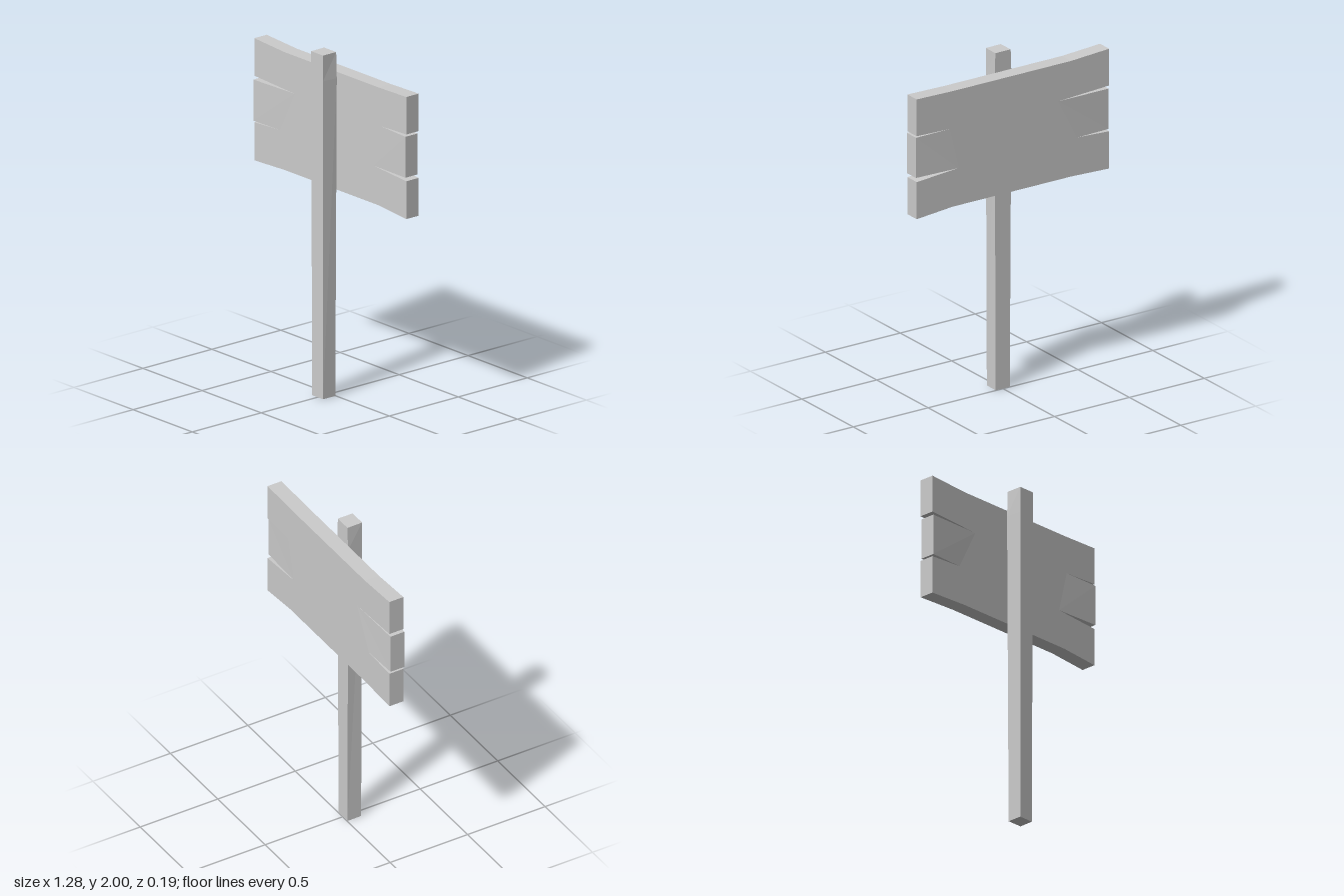
import * as THREE from 'three';

const material = () => new THREE.MeshStandardMaterial({ color: 0xcccccc, flatShading: true });

// Square post, slightly wider toward the top and along its back face
function createPost() {
  const geo = new THREE.BoxGeometry(1, 2, 1, 1, 2, 1);
  const rings = [
    { y: 0, front: 0.046, back: 0.047, zFront: 0.091, zBack: 0.003 },
    { y: 1.85, front: 0.05, back: 0.056, zFront: 0.095, zBack: 0 },
    { y: 2, front: 0.05, back: 0.051, zFront: 0.095, zBack: 0 },
  ];
  const p = geo.attributes.position;
  for (let i = 0; i < p.count; i++) {
    const r = rings[Math.round(p.getY(i)) + 1];
    const isFront = p.getZ(i) > 0;
    p.setXYZ(i, Math.sign(p.getX(i)) * (isFront ? r.front : r.back), r.y, isFront ? r.zFront : r.zBack);
  }
  geo.computeVertexNormals();
  const mesh = new THREE.Mesh(geo, material());
  mesh.name = 'post';
  return mesh;
}

// Sign board with flared ends and two splits cut into each end
function createBoard() {
  const outline = [
    [-0.645, 1.19], [-0.39, 1.2], [0.4, 1.2], [0.64, 1.18],
    [0.64, 1.4], [0.36, 1.42], [0.64, 1.422], [0.64, 1.66], [0.42, 1.665], [0.64, 1.672],
    [0.64, 1.89], [0.4, 1.885], [-0.39, 1.885], [-0.645, 1.9],
    [-0.645, 1.682], [-0.305, 1.665], [-0.645, 1.661], [-0.645, 1.422], [-0.43, 1.422], [-0.645, 1.411],
  ];
  const shape = new THREE.Shape(outline.map(([x, y]) => new THREE.Vector2(x, y)));
  const geo = new THREE.ExtrudeGeometry(shape, { depth: 0.09, bevelEnabled: false });
  geo.translate(0, 0, -0.093);

  // Bend the middle tongue a little forward at each end
  const p = geo.attributes.position;
  for (let i = 0; i < p.count; i++) {
    const y = p.getY(i);
    if (Math.abs(p.getX(i)) > 0.6 && y > 1.415 && y < 1.665) p.setZ(i, p.getZ(i) + 0.007);
  }
  geo.computeVertexNormals();
  const mesh = new THREE.Mesh(geo, material());
  mesh.name = 'signBoard';
  return mesh;
}

export function createModel() {
  const group = new THREE.Group();
  group.name = 'woodenSign';
  group.add(createPost(), createBoard());
  return group;
}
